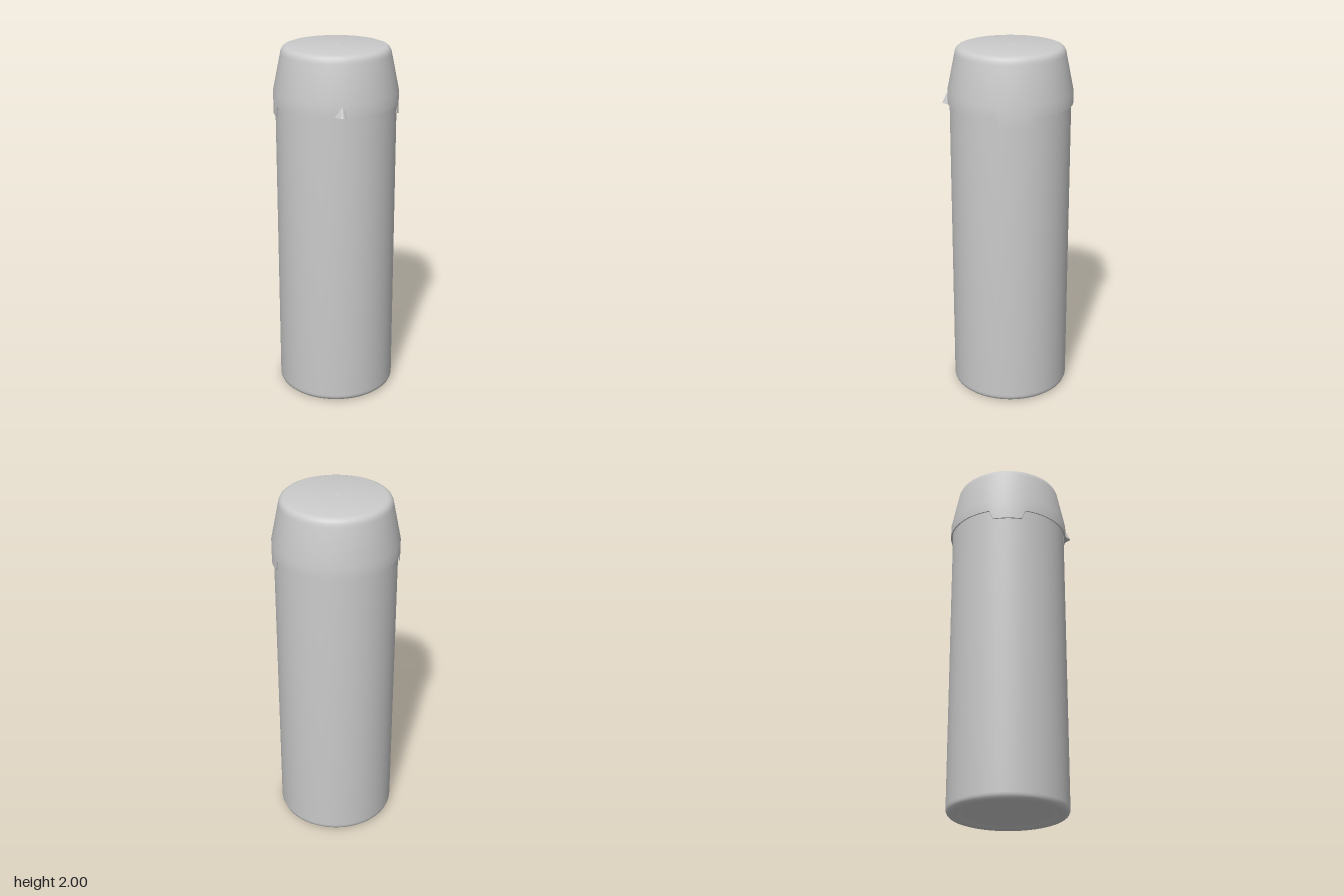
import * as THREE from 'three';
import { toCreasedNormals } from 'three/addons/utils/BufferGeometryUtils.js';

const AXIS_Z = -0.014; // the round parts sit slightly back to balance the front nub
const RIM_Y = 1.69, TAB_Y = 1.635;

const material = new THREE.MeshStandardMaterial({ color: 0xcccccc });

function part(name, geometry, parent) {
  const mesh = new THREE.Mesh(toCreasedNormals(geometry, 0.5), material);
  mesh.name = name;
  parent.add(mesh);
  return mesh;
}

function lathe(profile, segments) {
  return new THREE.LatheGeometry(profile.map(([r, y]) => new THREE.Vector2(r, y)), segments);
}

export function createModel() {
  const model = new THREE.Group();
  model.name = 'cappedBottle';

  // Tall cylinder with a rounded foot and a shallow recess underneath
  const body = part('body', lathe([
    [0, 0.012], [0.25, 0.012], [0.265, 0.002], [0.275, 0], [0.305, 0],
    [0.316, 0.004], [0.325, 0.012], [0.33, 0.024], [0.331, 0.036],
    [0.331, 1.74], [0, 1.74],
  ], 128), model);
  body.position.z = AXIS_Z;

  // Tapered cap with a thin skirt, rounded shoulder and a small centre dimple
  const capGeometry = lathe([
    [0.3, 1.75], [0.335, 1.75], [0.335, RIM_Y], [0.342, RIM_Y], [0.342, 1.757],
    [0.301, 1.958], [0.298, 1.972], [0.291, 1.986], [0.28, 1.995], [0.265, 2],
    [0.012, 2], [0.007, 1.997], [0, 1.996],
  ], 360);

  // Pull the skirt's lower edge down into a tab on the left and right sides
  const pos = capGeometry.attributes.position;
  for (let i = 0; i < pos.count; i++) {
    if (Math.abs(pos.getY(i) - RIM_Y) > 0.001) continue;
    const drop = 1 - THREE.MathUtils.smoothstep(Math.abs(pos.getZ(i)), 0.08, 0.106);
    pos.setY(i, RIM_Y - (RIM_Y - TAB_Y) * drop);
  }
  part('cap', capGeometry, model).position.z = AXIS_Z;

  // Pointed opening nub on the front of the skirt, tapering upward
  const outline = new THREE.Shape();
  outline.moveTo(-0.04, -0.32);
  outline.lineTo(-0.04, -0.326);
  outline.bezierCurveTo(-0.022, -0.33, -0.012, -0.356, 0, -0.356);
  outline.bezierCurveTo(0.012, -0.356, 0.022, -0.33, 0.04, -0.326);
  outline.lineTo(0.04, -0.32);
  outline.closePath();
  const nub = new THREE.ExtrudeGeometry(outline, { depth: 0.052, bevelEnabled: false, curveSegments: 10 });
  nub.rotateX(-Math.PI / 2);
  const p = nub.attributes.position;
  for (let i = 0; i < p.count; i++) {
    const t = p.getY(i) / 0.052;
    p.setX(i, p.getX(i) * (1 - 0.65 * t));
    p.setZ(i, 0.32 + (p.getZ(i) - 0.32) * (1 - 0.65 * t));
  }
  part('frontNub', nub, model).position.y = RIM_Y;

  return model;
}
